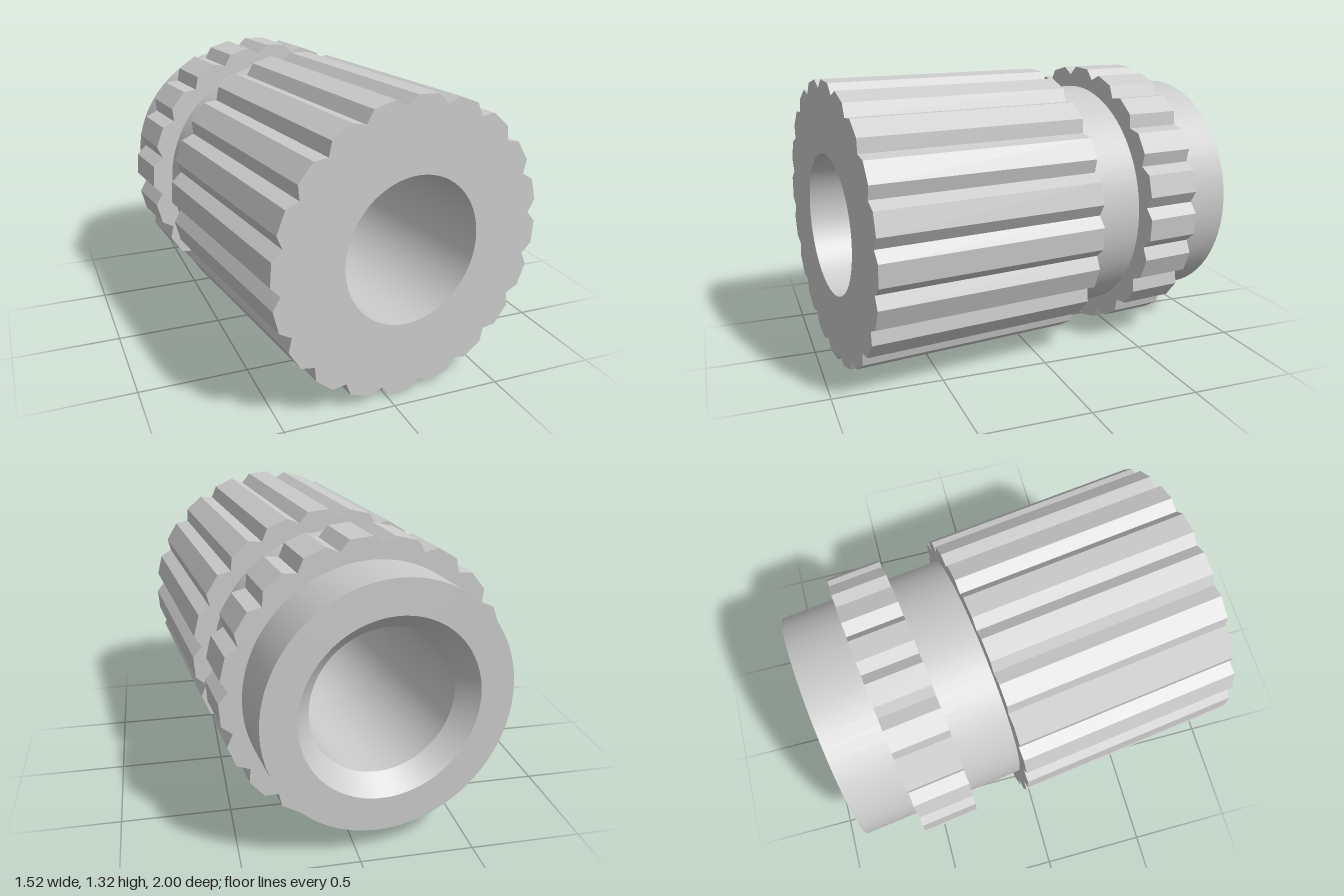
import * as THREE from 'three';
import { toCreasedNormals } from 'three/addons/utils/BufferGeometryUtils.js';

const TEETH = 20, TIP = 0.6625, ROOT = 0.622, BODY = 0.5625, BORE = 0.33;
const FLUTED_END = 1.064, RING_START = 1.328, RING_END = 1.59, LENGTH = 1.854;
const CHAMFER_RADIUS = 0.407, CHAMFER_DEPTH = 0.09;
const deg = Math.PI / 180;

// Toothed outline: V notches between flat-topped teeth, with a round hole
function toothedShape(holeRadius) {
  const points = [];
  const add = (r, a) => points.push(new THREE.Vector2(r * Math.cos(a), r * Math.sin(a)));
  const step = 2 * Math.PI / TEETH;
  for (let i = 0; i < TEETH; i++) {
    const notch = 5.3 * deg + i * step;
    add(ROOT, notch);
    add(TIP, notch + step / 4);
    add(TIP, notch + step * 3 / 4);
  }
  const shape = new THREE.Shape(points);
  shape.holes.push(new THREE.Path().absarc(0, 0, holeRadius, 0, Math.PI * 2, true));
  return shape;
}

// Toothed section between two distances measured back from the front end
function toothedSection(start, end, holeRadius) {
  const geometry = new THREE.ExtrudeGeometry(toothedShape(holeRadius), {
    depth: end - start, bevelEnabled: false, curveSegments: 64,
  });
  geometry.translate(0, 0, -end);
  return toCreasedNormals(geometry, 0.5);
}

export function createModel() {
  const model = new THREE.Group();
  model.name = 'splinedSleeve';
  const material = new THREE.MeshStandardMaterial({ color: 0xcccccc });
  const add = (name, geometry) => {
    const mesh = new THREE.Mesh(geometry, material);
    mesh.name = name;
    sleeve.add(mesh);
  };

  // The sleeve lies along its local z axis, turned slightly about y
  const sleeve = new THREE.Group();
  sleeve.name = 'sleeve';
  sleeve.position.set(0.107, TIP, 0.912);
  sleeve.rotation.y = 7.63 * deg;
  model.add(sleeve);

  // Long fluted grip and narrow toothed ring
  add('flutedBody', toothedSection(0, FLUTED_END, BORE));
  add('toothedRing', toothedSection(RING_START, RING_END, BODY));

  // Plain rear tube with a chamfered mouth
  const profile = [
    [BORE, FLUTED_END],
    [BORE, LENGTH - CHAMFER_DEPTH],
    [CHAMFER_RADIUS, LENGTH],
    [BODY, LENGTH],
    [BODY, FLUTED_END],
  ].map(([r, s]) => new THREE.Vector2(r, -s));
  const tube = new THREE.LatheGeometry(profile, 64).rotateX(Math.PI / 2);
  add('rearTube', toCreasedNormals(tube, 0.5));

  return model;
}
